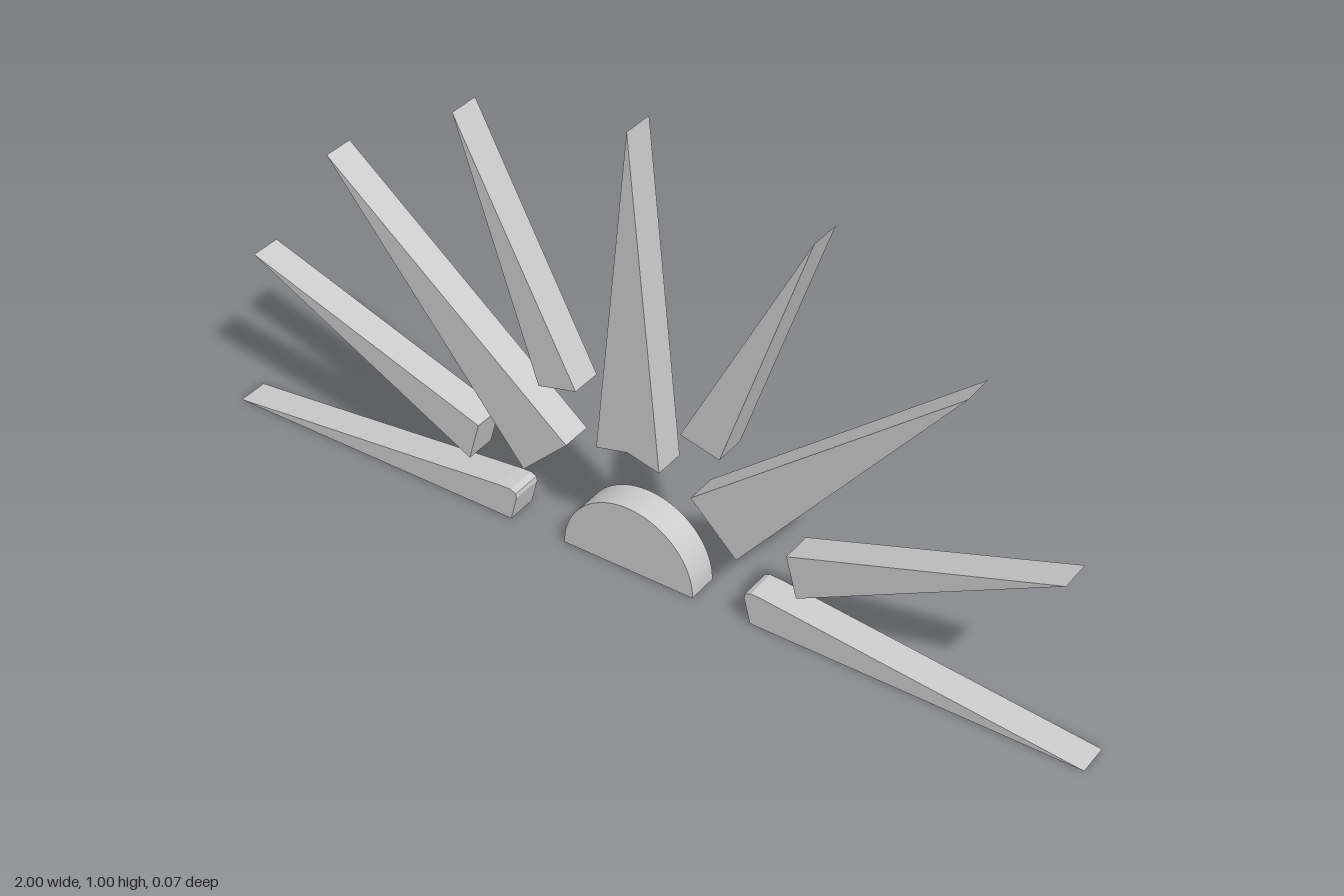
import * as THREE from 'three';

const DEPTH = 0.07;

// Side rays on the +x half, outlines counter-clockwise, tip first
const SIDE_RAYS = {
  groundRay: [[1, 0], [0.31, 0.073], [0.285, 0.074], [0.272, 0.068], [0.27, 0.058], [0.285, 0]],
  lowRay: [[0.925, 0.396], [0.36, 0.2], [0.385, 0.11]],
  diagonalRay: [[0.708, 0.706], [0.145, 0.243], [0.25, 0.14]],
  highRay: [[0.392, 0.906], [0.12, 0.382], [0.208, 0.36]],
};
const CENTRE_RAY = [[0, 0.996], [-0.073, 0.27], [0, 0.288], [0.073, 0.27]];

export function createModel() {
  const model = new THREE.Group();
  model.name = 'sunburst';
  const material = new THREE.MeshStandardMaterial({ color: 0xcccccc });

  // Extrude a flat outline into a plate centred on z = 0
  const addPlate = (name, shape) => {
    const geometry = new THREE.ExtrudeGeometry(shape, { depth: DEPTH, bevelEnabled: false, curveSegments: 28 });
    geometry.translate(0, 0, -DEPTH / 2);
    const mesh = new THREE.Mesh(geometry, material);
    mesh.name = name;
    model.add(mesh);
  };
  const outline = (points, side = 1) =>
    new THREE.Shape(points.map(([x, y]) => new THREE.Vector2(x * side, y)));

  // Half disc at the centre
  const disc = new THREE.Shape();
  disc.absarc(0, 0, 0.153, 0, Math.PI, false);
  disc.closePath();
  addPlate('halfDisc', disc);

  // Upright ray, then mirrored pairs
  addPlate('centreRay', outline(CENTRE_RAY));
  for (const [name, points] of Object.entries(SIDE_RAYS)) {
    addPlate(name + 'Left', outline(points, 1));
    addPlate(name + 'Right', outline(points, -1));
  }
  return model;
}
